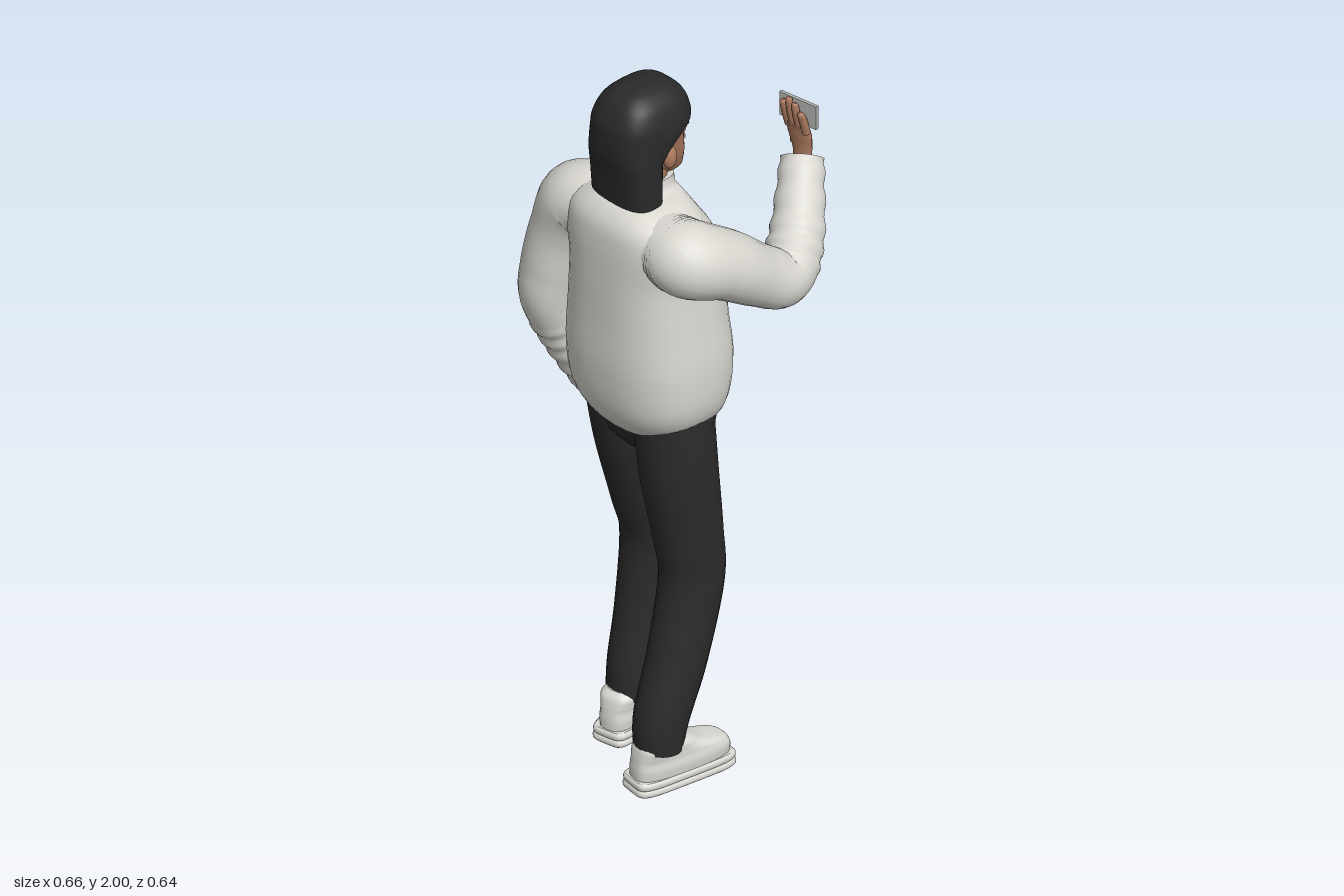
import * as THREE from 'three';

const mat = (name, color) => Object.assign(new THREE.MeshStandardMaterial({ color }), { name });
const V = (x, y, z) => new THREE.Vector3(x, y, z);
const SIDES = 40;

// Catmull-Rom through rows of numbers, k steps per segment
function spline(rows, k) {
  const out = [], last = rows.length - 1;
  for (let i = 0; i < last; i++) {
    const a = rows[Math.max(i - 1, 0)], b = rows[i], c = rows[i + 1], d = rows[Math.min(i + 2, last)];
    for (let s = 0; s < k + (i === last - 1 ? 1 : 0); s++) {
      const t = s / k;
      out.push(b.map((_, j) => {
        const cubic = 3 * (b[j] - c[j]) + d[j] - a[j];
        const square = 2 * a[j] - 5 * b[j] + 4 * c[j] - d[j];
        return b[j] + 0.5 * t * (c[j] - a[j] + t * (square + t * cubic));
      }));
    }
  }
  return out;
}

// Closed skin over rings of points, with flat end caps
function skin(rings) {
  const n = rings[0].length, pts = rings.flat(), idx = [];
  for (let i = 0; i < rings.length - 1; i++) for (let j = 0; j < n; j++) {
    const a = i * n + j, b = i * n + (j + 1) % n;
    idx.push(a, b, b + n, a, b + n, a + n);
  }
  [rings[0], rings[rings.length - 1]].forEach((ring, end) => {
    const base = pts.length;
    const mid = ring.reduce((s, p) => s.add(p), V(0, 0, 0)).divideScalar(n);
    pts.push(...ring, mid);
    for (let j = 0; j < n; j++) {
      const a = base + j, b = base + (j + 1) % n;
      idx.push(base + n, end ? a : b, end ? b : a);
    }
  });
  const g = new THREE.BufferGeometry().setFromPoints(pts);
  g.setIndex(idx);
  g.computeVertexNormals();
  return g;
}

// Horizontal sections, bottom to top: [y, halfWidth, zFront, zBack]
function loft(rows, cx, power = 2.3, k = 6, bend = null) {
  const round = v => Math.sign(v) * Math.pow(Math.abs(v), 2 / power);
  return skin(spline(rows, k).map(([y, w, zf, zb]) => Array.from({ length: SIDES }, (_, j) => {
    const a = j / SIDES * Math.PI * 2;
    const p = V(cx + w * round(Math.cos(a)), y, (zf + zb) / 2 - (zb - zf) / 2 * round(Math.sin(a)));
    if (bend) bend(p);
    return p;
  })));
}

// Tube along rows of [x, y, z, radius, radius2]; folds adds cloth ripples near the end
function limb(rows, { k = 8, sides = 24, folds = 0 } = {}) {
  const path = spline(rows.map(r => r.length < 5 ? [...r, r[3]] : r), k);
  const last = path.length - 1;
  return skin(path.map(([x, y, z, ra, rb], i) => {
    const p = path[Math.max(i - 1, 0)], q = path[Math.min(i + 1, last)];
    const t = V(q[0] - p[0], q[1] - p[1], q[2] - p[2]).normalize();
    const u = V(1, 0, 0).addScaledVector(t, -t.x).normalize(), v = t.clone().cross(u);
    const f = Math.max(0, (i / last - 0.74) / 0.26);
    const s = 1 + 0.045 * Math.sin(f * folds * Math.PI * 2);
    return Array.from({ length: sides }, (_, j) => {
      const a = j / sides * Math.PI * 2;
      return V(x, y, z).addScaledVector(u, ra * s * Math.cos(a)).addScaledVector(v, rb * s * Math.sin(a));
    });
  }));
}

export function createModel() {
  const model = new THREE.Group();
  const cloth = mat('jacket white', 0xd9d7d0), black = mat('trouser black', 0x2b2b2b), hairM = mat('hair black', 0x2a2a2a);
  const skinM = mat('skin', 0xab7a5f), lipM = mat('lip', 0x8a5548), shoeM = mat('shoe white', 0xdad8d2);
  const greyM = mat('card grey', 0xb4b4b2), whiteM = mat('eye white', 0xe6e2dc), zipM = mat('zip grey', 0x6a6a68);
  const add = (name, geo, m, parent = model) => {
    const mesh = new THREE.Mesh(geo, m);
    mesh.name = name;
    parent.add(mesh);
    return mesh;
  };
  const ball = (name, m, parent, pos, scale) => {
    const b = add(name, new THREE.SphereGeometry(1, 20, 14), m, parent);
    b.position.set(...pos);
    b.scale.set(...scale);
    return b;
  };
  const CX = 0.015;

  // Jacket body with chest bulges and a hem that rises at the sides
  const bodyRows = [[1.0, 0.13, 0.03, 0.23], [1.03, 0.18, 0, 0.27], [1.1, 0.205, -0.02, 0.305], [1.22, 0.212, -0.03, 0.32],
    [1.35, 0.2, -0.015, 0.32], [1.48, 0.19, 0, 0.32], [1.58, 0.2, 0.03, 0.318], [1.64, 0.175, 0.065, 0.308],
    [1.68, 0.115, 0.085, 0.275], [1.695, 0.07, 0.09, 0.225], [1.725, 0.06, 0.09, 0.21]];
  add('jacketBody', loft(bodyRows, CX, 2.5, 6, p => {
    const dx = Math.abs(p.x - CX) - 0.09, dy = p.y - 1.44;
    if (p.z < 0.15) p.z -= 0.035 * Math.exp(-(dx * dx + dy * dy) / 0.005);
    p.y += 0.04 * Math.min(1, ((p.x - CX) / 0.2) ** 2) * Math.max(0, 1 - (p.y - 1) / 0.15);
  }), cloth);
  const zipRows = bodyRows.slice(1, 10).map(([y, , zf]) =>
    [CX, y, zf - 0.035 * Math.exp(-(0.0081 + (y - 1.44) ** 2) / 0.005), 0.004]);
  add('zip', limb(zipRows, { sides: 8 }), zipM);

  // Sleeves: one raised, one hanging
  add('leftSleeve', limb([[0.1, 1.59, 0.2, 0.085], [0.2, 1.575, 0.195, 0.1], [0.237, 1.53, 0.1, 0.09], [0.247, 1.46, 0, 0.08],
    [0.25, 1.42, -0.085, 0.076], [0.215, 1.48, -0.165, 0.07], [0.125, 1.625, -0.27, 0.055]], { k: 14, folds: 5 }), cloth);
  add('rightSleeve', limb([[-0.08, 1.59, 0.2, 0.085], [-0.175, 1.575, 0.2, 0.098], [-0.222, 1.48, 0.21, 0.086],
    [-0.25, 1.36, 0.225, 0.079], [-0.262, 1.26, 0.225, 0.073], [-0.257, 1.12, 0.165, 0.066], [-0.24, 0.97, 0.09, 0.056]],
  { k: 14, folds: 5 }), cloth);

  // Trousers
  add('hips', loft([[0.93, 0.07, 0.07, 0.2], [0.97, 0.15, 0.04, 0.23], [1.04, 0.185, 0.02, 0.25], [1.12, 0.18, 0.02, 0.26]], CX), black);
  add('leftLeg', limb([[0.105, 1.07, 0.15, 0.097, 0.105], [0.112, 0.9, 0.14, 0.096, 0.103], [0.122, 0.7, 0.117, 0.086, 0.092],
    [0.128, 0.56, 0.11, 0.081, 0.085], [0.13, 0.35, 0.16, 0.074, 0.08], [0.128, 0.2, 0.21, 0.068, 0.074], [0.127, 0.11, 0.222, 0.063, 0.062]]), black);
  add('rightLeg', limb([[-0.083, 1.07, 0.14, 0.097, 0.105], [-0.085, 0.9, 0.11, 0.094, 0.1], [-0.092, 0.7, 0.06, 0.087, 0.09],
    [-0.095, 0.56, 0.03, 0.084, 0.082], [-0.096, 0.35, 0.055, 0.074, 0.078], [-0.096, 0.2, 0.09, 0.068, 0.07], [-0.096, 0.11, 0.105, 0.064, 0.06]]), black);

  // Shoes: two-layer sole and a rounded upper
  const shoe = (name, x, z, turn) => {
    const g = new THREE.Group();
    g.name = name;
    g.position.set(x, 0, z);
    g.rotation.y = turn;
    add('sole', loft([[0, 0.05, -0.142, 0.142], [0.006, 0.056, -0.148, 0.148], [0.016, 0.056, -0.148, 0.148], [0.022, 0.051, -0.143, 0.143]], 0, 5, 2), shoeM, g);
    add('midsole', loft([[0.02, 0.051, -0.143, 0.143], [0.026, 0.055, -0.147, 0.147], [0.036, 0.055, -0.147, 0.147], [0.041, 0.05, -0.142, 0.142]], 0, 5, 2), shoeM, g);
    add('upper', loft([[0.038, 0.05, -0.14, 0.138], [0.065, 0.053, -0.14, 0.138], [0.088, 0.05, -0.12, 0.135],
      [0.104, 0.05, -0.06, 0.132], [0.125, 0.05, -0.02, 0.125], [0.14, 0.035, 0, 0.11]], 0, 3), shoeM, g);
    model.add(g);
  };
  shoe('leftShoe', 0.138, 0.16, -0.15);
  shoe('rightShoe', -0.11, 0.058, 0.18);

  // Head, neck and hair
  const head = new THREE.Group();
  head.name = 'head';
  model.add(head);
  add('neck', limb([[CX, 1.66, 0.16, 0.053], [CX, 1.82, 0.155, 0.055]]), skinM, head);
  add('face', loft([[1.712, 0.022, 0.068, 0.11], [1.725, 0.04, 0.053, 0.14], [1.75, 0.055, 0.052, 0.18], [1.78, 0.068, 0.054, 0.21],
    [1.82, 0.077, 0.06, 0.23], [1.87, 0.084, 0.06, 0.25], [1.92, 0.08, 0.07, 0.25]], CX), skinM, head);
  add('hair', loft([[1.69, 0.1, 0.165, 0.278], [1.76, 0.101, 0.163, 0.284], [1.8, 0.101, 0.16, 0.29], [1.825, 0.102, 0.14, 0.294],
    [1.855, 0.103, 0.1, 0.296], [1.885, 0.104, 0.06, 0.296], [1.92, 0.1, 0.055, 0.292], [1.96, 0.084, 0.07, 0.272],
    [1.985, 0.058, 0.098, 0.245], [1.997, 0.03, 0.135, 0.212], [2.0, 0.01, 0.16, 0.185]], CX, 2.8), hairM, head);
  const nose = add('nose', new THREE.ConeGeometry(0.019, 0.07, 12), skinM, head);
  nose.position.set(CX, 1.813, 0.053);
  nose.rotation.x = 0.16;
  ball('noseTip', skinM, head, [CX, 1.788, 0.044], [0.013, 0.011, 0.014]);
  ball('upperLip', lipM, head, [CX, 1.758, 0.054], [0.024, 0.005, 0.007]);
  ball('lowerLip', lipM, head, [CX, 1.748, 0.054], [0.02, 0.006, 0.007]);
  for (const s of [-1, 1]) {
    ball('eye', whiteM, head, [CX + s * 0.034, 1.833, 0.07], [0.016, 0.008, 0.007]);
    ball('iris', hairM, head, [CX + s * 0.034, 1.833, 0.065], [0.007, 0.007, 0.004]);
    ball('brow', hairM, head, [CX + s * 0.036, 1.853, 0.067], [0.024, 0.005, 0.006]).rotation.z = s * 0.1;
    ball('ear', skinM, head, [CX + s * 0.088, 1.812, 0.16], [0.016, 0.033, 0.02]);
  }

  // Raised hand holding a card
  const raised = new THREE.Group();
  raised.name = 'leftHand';
  model.add(raised);
  add('palm', limb([[0.125, 1.6, -0.268, 0.026, 0.022], [0.124, 1.65, -0.272, 0.028, 0.02], [0.12, 1.7, -0.266, 0.04, 0.018],
    [0.12, 1.732, -0.256, 0.037, 0.011]]), skinM, raised);
  [1.785, 1.803, 1.81, 1.795].forEach((top, i) => {
    const x = 0.151 - i * 0.021;
    add('finger', limb([[x, 1.715, -0.26, 0.011], [x, 1.76, -0.247, 0.0105], [x, top - 0.008, -0.24, 0.009], [x, top, -0.239, 0.004]], { sides: 12 }), skinM, raised);
  });
  add('thumb', limb([[0.1, 1.66, -0.272, 0.015], [0.082, 1.7, -0.286, 0.013], [0.085, 1.745, -0.28, 0.011], [0.087, 1.756, -0.277, 0.004]], { sides: 12 }), skinM, raised);
  const card = add('card', new THREE.BoxGeometry(0.115, 0.068, 0.009), greyM, raised);
  card.position.set(0.122, 1.768, -0.261);
  card.rotation.y = 0.15;

  // Hanging hand, loosely curled
  const hanging = new THREE.Group();
  hanging.name = 'rightHand';
  model.add(hanging);
  add('palm', limb([[-0.24, 0.985, 0.098, 0.024, 0.024], [-0.228, 0.945, 0.06, 0.02, 0.034], [-0.213, 0.905, 0.037, 0.015, 0.036]]), skinM, hanging);
  for (let i = 0; i < 4; i++) {
    const z = 0.062 - i * 0.019, y = 0.9 + i * 0.006;
    add('finger', limb([[-0.217, y + 0.015, z, 0.011], [-0.208, y - 0.018, z - 0.007, 0.0105], [-0.188, y - 0.044, z - 0.012, 0.009],
      [-0.181, y - 0.05, z - 0.013, 0.004]], { sides: 12 }), skinM, hanging);
  }
  add('thumb', limb([[-0.222, 0.945, 0.04, 0.015], [-0.188, 0.928, 0.016, 0.012], [-0.164, 0.902, 0.004, 0.01], [-0.159, 0.894, 0.002, 0.004]], { sides: 12 }), skinM, hanging);

  return model;
}
